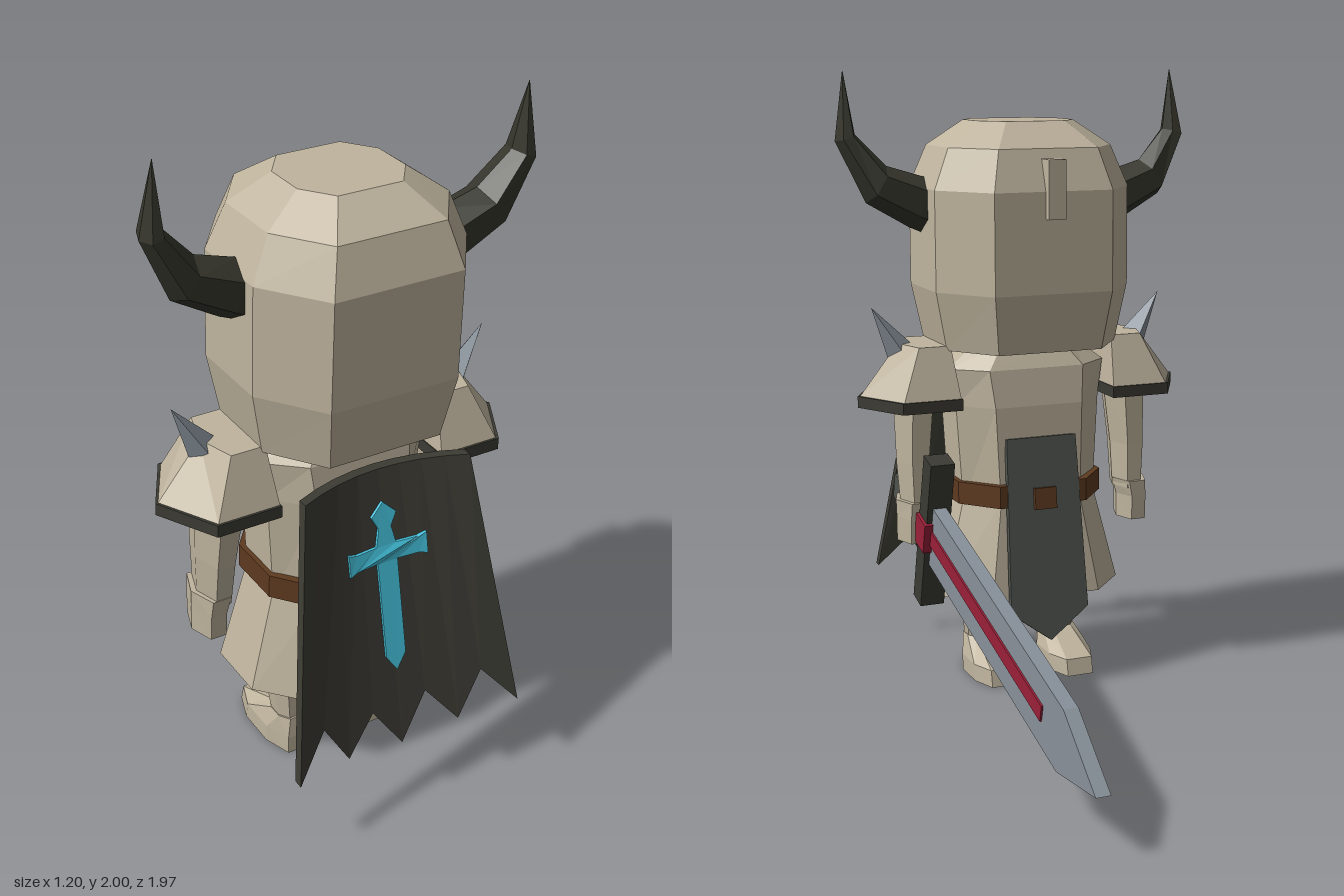
import * as THREE from 'three';

const mat = (name, color, side = THREE.FrontSide) => {
  const m = new THREE.MeshStandardMaterial({ color, side, flatShading: true });
  m.name = name;
  return m;
};

// Skin over a stack of equal-length rings, closed with a fan at both ends
function loft(rings) {
  const n = rings[0].length, pos = [], idx = [];
  rings.forEach(r => r.forEach(p => pos.push(...p)));
  for (let i = 0; i < rings.length - 1; i++)
    for (let j = 0; j < n; j++) {
      const a = i * n + j, b = i * n + (j + 1) % n;
      idx.push(a, a + n, b, b, a + n, b + n);
    }
  const top = (rings.length - 1) * n;
  for (let j = 1; j < n - 1; j++) {
    idx.push(0, j, j + 1);
    idx.push(top, top + j + 1, top + j);
  }
  const g = new THREE.BufferGeometry();
  g.setAttribute('position', new THREE.Float32BufferAttribute(pos, 3));
  g.setIndex(idx);
  g.computeVertexNormals();
  return g;
}

// Copy across x with the corner order turned back
function mirrored(geo) {
  const g = geo.clone().scale(-1, 1, 1);
  const a = g.index.array;
  for (let i = 0; i < a.length; i += 3) [a[i], a[i + 1]] = [a[i + 1], a[i]];
  g.computeVertexNormals();
  return g;
}

// Flat eight-sided ring
const OCT = [[1, 0.42], [0.6, 1], [-0.6, 1], [-1, 0.42], [-1, -0.42], [-0.6, -1], [0.6, -1], [1, -0.42]];
const oct = (y, rx, rz, cz = 0.505, cx = 0) => OCT.map(([x, z]) => [cx + x * rx, y, cz + z * rz]);

// Six-sided ring with its first axis turned in the xy plane
function hex(cx, cy, cz, r, rz, angle = 0) {
  return Array.from({ length: 6 }, (_, i) => {
    const t = i * Math.PI / 3, u = Math.cos(t) * r;
    return [cx + u * Math.cos(angle), cy + u * Math.sin(angle), cz + Math.sin(t) * rz];
  });
}

export function createModel() {
  const bone = mat('bone', 0xbfb49e);
  const horn = mat('horn', 0x36362d);
  const cloth = mat('dark cloth', 0x3c3b34);
  const cyan = mat('cyan', 0x45c3dd);
  const steel = mat('steel', 0x88919a);
  const red = mat('red', 0x9c2039);
  const brown = mat('brown', 0x5e3a20);
  const slate = mat('slate', 0x50544f);

  const root = new THREE.Group();
  root.name = 'hornedKnight';
  const add = (name, geo, material, parent = root) => {
    const m = new THREE.Mesh(geo, material);
    m.name = name;
    parent.add(m);
    return m;
  };
  const pair = (name, geo, material) => {
    add('left' + name, geo, material);
    add('right' + name, mirrored(geo), material);
  };

  // Helmet with visor nub
  add('helmet', loft([
    oct(1.12, 0.292, 0.275), oct(1.31, 0.33, 0.31), oct(1.63, 0.33, 0.31),
    oct(1.76, 0.277, 0.265), oct(1.84, 0.165, 0.155),
  ]), bone);
  add('visorNub', new THREE.BoxGeometry(0.058, 0.185, 0.08).translate(0, 1.637, 0.21), bone);

  // Horns
  pair('Horn', loft([
    hex(0.27, 1.555, 0.52, 0.085, 0.087, -1.3), hex(0.34, 1.583, 0.52, 0.084, 0.087, -1.25),
    hex(0.474, 1.643, 0.522, 0.067, 0.082, -1.03), hex(0.567, 1.79, 0.54, 0.034, 0.055, -0.3),
    hex(0.565, 1.995, 0.555, 0.001, 0.001),
  ]), horn);

  // Tunic, belt and skirt
  add('torso', loft([
    oct(0.6, 0.23, 0.185), oct(0.93, 0.25, 0.175), oct(1.05, 0.27, 0.155), oct(1.13, 0.17, 0.11),
  ]), bone);
  add('skirt', loft([oct(0.3, 0.31, 0.23), oct(0.62, 0.23, 0.185)]), bone);
  add('belt', loft([oct(0.607, 0.25, 0.21), oct(0.68, 0.25, 0.21)]), brown);

  // Tabard hanging in front, with buckle
  const tabardShape = new THREE.Shape([[-0.12, 0.67], [-0.135, 0.1], [0, 0], [0.135, 0.1], [0.12, 0.67]]
    .map(p => new THREE.Vector2(...p)));
  const tabard = new THREE.Group();
  tabard.name = 'tabardGroup';
  tabard.position.set(0, 0.165, 0.23);
  tabard.rotation.x = 0.125;
  root.add(tabard);
  add('tabard', new THREE.ExtrudeGeometry(tabardShape, { depth: 0.02, bevelEnabled: false }), slate, tabard);
  add('buckle', new THREE.BoxGeometry(0.075, 0.07, 0.03).translate(0, 0.47, 0), brown, tabard);

  // Shoulder armour: shell, rim and spike
  const plate = (y, out, mid, inn, rz, cz = 0.503) =>
    [[out, y, cz], [mid, y, cz + rz], [inn, y, cz + rz], [inn, y, cz - rz], [mid, y, cz - rz]];
  pair('Pauldron', loft([plate(0.97, 0.55, 0.455, 0.265, 0.172), plate(1.135, 0.42, 0.385, 0.28, 0.115)]), bone);
  pair('PauldronRim', loft([plate(0.935, 0.557, 0.46, 0.262, 0.178), plate(0.972, 0.557, 0.46, 0.262, 0.178)]), cloth);
  pair('ShoulderSpike', new THREE.ConeGeometry(0.045, 0.17, 4)
    .rotateZ(-0.56).translate(0.46, 1.183, 0.505), steel);

  // Arms and hands
  pair('Arm', loft([
    hex(0.378, 0.6, 0.485, 0.048, 0.085), hex(0.38, 0.75, 0.495, 0.055, 0.1), hex(0.37, 0.98, 0.505, 0.07, 0.12),
  ]), bone);
  pair('Hand', loft([
    hex(0.392, 0.49, 0.48, 0.05, 0.085), hex(0.392, 0.57, 0.48, 0.05, 0.09), hex(0.385, 0.625, 0.482, 0.058, 0.095),
  ]), bone);

  // Legs and feet
  pair('Leg', loft([
    oct(0.09, 0.05, 0.05, 0.535, 0.137), oct(0.22, 0.065, 0.066, 0.515, 0.135), oct(0.36, 0.065, 0.09, 0.49, 0.13),
  ]), bone);
  pair('Foot', loft([
    oct(0, 0.075, 0.147, 0.452, 0.135), oct(0.055, 0.075, 0.14, 0.457, 0.135), oct(0.12, 0.055, 0.055, 0.535, 0.137),
  ]), bone);

  // Curved cape with a ragged hem
  const hem = [0.255, 0.375, 0.245, 0.345, 0.22, 0.355, 0.24, 0.38, 0.265];
  const capeZ = (x, y) => {
    const half = 0.265 + (1.045 - y) * 0.133;
    return 0.715 + (1.045 - y) * 0.225 + 0.06 * (x / half) ** 2;
  };
  const cape = new THREE.BoxGeometry(2, 1, 0.03, 8, 1, 1);
  const cp = cape.attributes.position;
  for (let i = 0; i < cp.count; i++) {
    const f = cp.getX(i);
    const y = cp.getY(i) > 0 ? 1.045 : hem[Math.round((f + 1) * 4)];
    const x = f * (0.265 + (1.045 - y) * 0.133);
    cp.setXYZ(i, x, y, capeZ(x, y) + 0.015 + cp.getZ(i));
  }
  cape.computeVertexNormals();
  add('cape', cape, cloth);

  // Sword emblem lying on the cape
  const halfEmblem = [[0, 0.455], [0.032, 0.5], [0.032, 0.782], [0.1, 0.782], [0.127, 0.775], [0.127, 0.838],
    [0.1, 0.83], [0.032, 0.83], [0.02, 0.88], [0.04, 0.918], [0, 0.955]];
  const outline = [...halfEmblem, ...halfEmblem.slice(1, -1).reverse().map(([x, y]) => [-x, y])];
  const emblem = new THREE.ExtrudeGeometry(new THREE.Shape(outline.map(p => new THREE.Vector2(...p))),
    { depth: 0.008, bevelEnabled: false });
  const ep = emblem.attributes.position;
  for (let i = 0; i < ep.count; i++) ep.setZ(i, ep.getZ(i) + 0.032 + capeZ(ep.getX(i), ep.getY(i)));
  emblem.computeVertexNormals();
  add('capeEmblem', emblem, cyan);

  // Sword, built along its own x axis and held in the left hand
  const sword = new THREE.Group();
  sword.name = 'sword';
  sword.position.set(0.354, 0.54, 0.365);
  sword.rotation.set(0, Math.PI / 2, -Math.PI / 12);
  root.add(sword);
  const bladeShape = new THREE.Shape([[0.02, -0.102], [1.147, -0.102], [1.397, 0], [1.147, 0.102], [0.02, 0.102]]
    .map(p => new THREE.Vector2(...p)));
  add('blade', new THREE.ExtrudeGeometry(bladeShape, { depth: 0.044, bevelEnabled: false })
    .translate(0, 0, -0.022), steel, sword);
  const block = (name, w, h, d, x, m) => add(name, new THREE.BoxGeometry(w, h, d).translate(x, 0, 0), m, sword);
  block('fuller', 0.98, 0.05, 0.056, 0.53, red);
  block('crossguard', 0.075, 0.515, 0.08, 0, cloth);
  block('guardBlock', 0.09, 0.1, 0.1, 0.005, red);
  block('grip', 0.27, 0.045, 0.045, -0.14, brown);
  block('pommel', 0.085, 0.085, 0.07, -0.281, slate);

  return root;
}
